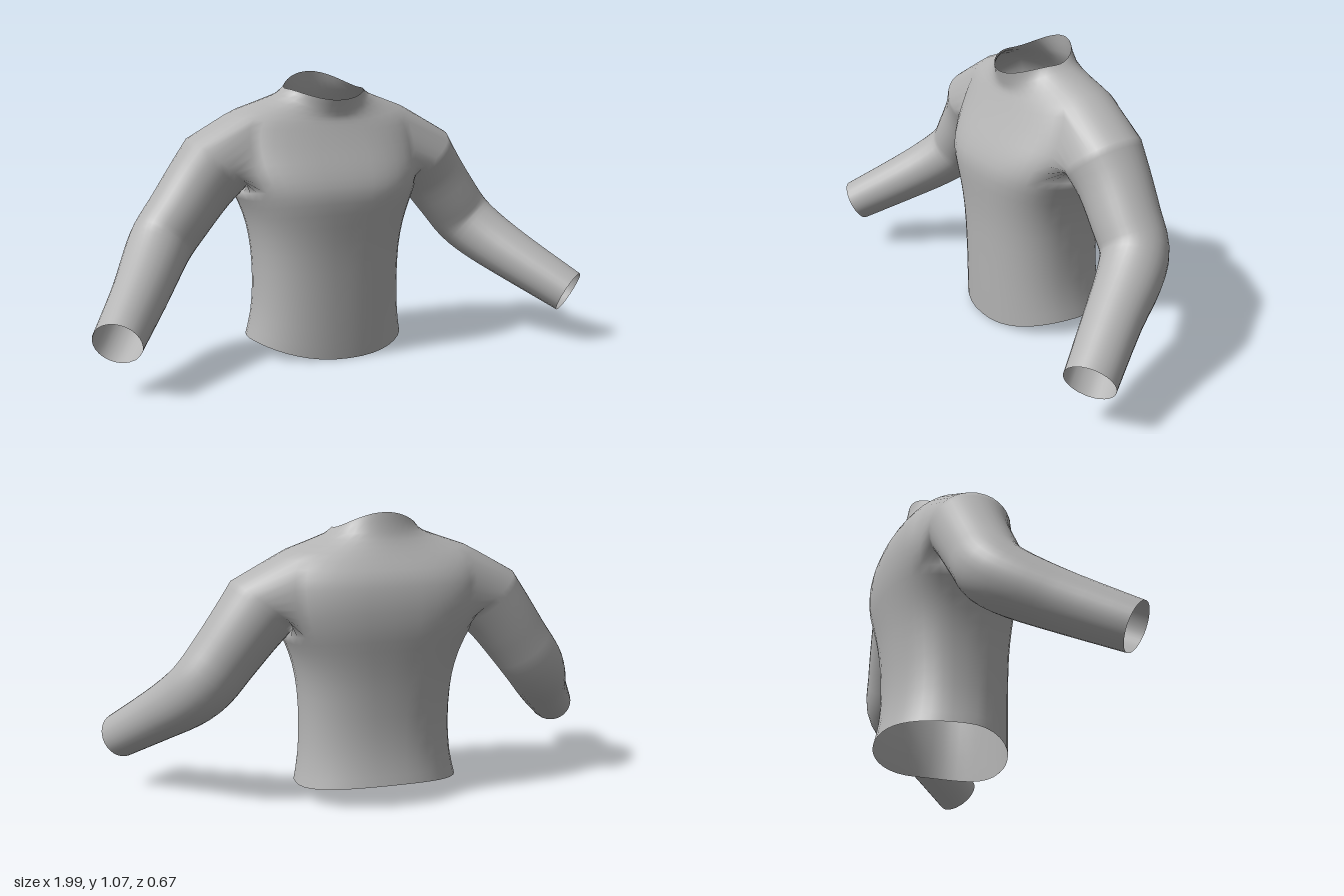
import * as THREE from 'three';

const COLS = 40;  // columns around the torso
const SUB = 2;    // smooth steps between two given sections
const HALF = 4;   // half the armhole width, in columns

// Torso sections: y front, y side, y back, z front, z back, half width, roundness
const TORSO = [
  [0.003, 0.06, 0.088, 0.152, -0.315, 0.312, 0.9],
  [0.12, 0.15, 0.17, 0.155, -0.298, 0.294, 0.88],
  [0.26, 0.27, 0.28, 0.158, -0.29, 0.286, 0.86],
  [0.4, 0.4, 0.4, 0.162, -0.295, 0.29, 0.83],
  [0.51, 0.5, 0.5, 0.171, -0.305, 0.306, 0.8],
  [0.6, 0.575, 0.59, 0.179, -0.319, 0.33, 0.76],
  [0.66, 0.635, 0.66, 0.171, -0.33, 0.358, 0.74], // armpit
  [0.72, 0.7, 0.73, 0.145, -0.333, 0.385, 0.74],
  [0.78, 0.77, 0.79, 0.112, -0.328, 0.4, 0.76],
  [0.835, 0.85, 0.85, 0.083, -0.313, 0.405, 0.82],
  [0.88, 0.92, 0.905, 0.061, -0.28, 0.385, 0.92], // top of the armhole
  [0.905, 0.962, 0.955, 0.052, -0.248, 0.285, 1],
  [0.93, 0.995, 1.005, 0.054, -0.224, 0.19, 1],
  [0.975, 1.015, 1.076, 0.065, -0.21, 0.157, 1],  // collar edge
];
const HOLE_BOTTOM = 6 * SUB, HOLE_TOP = 10 * SUB;

// Sleeve sections: centre x, y, z, radius upward, radius forward
const SLEEVE = [
  [0.43, 0.745, -0.1, 0.142, 0.148],
  [0.495, 0.665, -0.105, 0.132, 0.133],
  [0.575, 0.56, -0.1, 0.124, 0.125],
  [0.645, 0.47, -0.09, 0.12, 0.12],  // elbow
  [0.705, 0.4, -0.025, 0.112, 0.114],
  [0.79, 0.315, 0.1, 0.1, 0.1],
  [0.92, 0.198, 0.277, 0.086, 0.09], // cuff
];

// Catmull-Rom smoothing of a list of section values
function smooth(list, steps) {
  const out = [];
  const at = (i) => list[Math.min(Math.max(i, 0), list.length - 1)];
  for (let i = 0; i < list.length - 1; i++) {
    for (let s = 0; s < steps; s++) {
      const t = s / steps;
      out.push(list[i].map((b, k) => {
        const a = at(i - 1)[k], c = at(i + 1)[k], d = at(i + 2)[k];
        return b + 0.5 * t * (c - a + t * (2 * a - 5 * b + 4 * c - d + t * (3 * (b - c) + d - a)));
      }));
    }
  }
  out.push(list[list.length - 1]);
  return out;
}

const power = (v, p) => Math.sign(v) * Math.pow(Math.abs(v), p);

function torsoPoint([yF, yS, yB, zF, zB, w, p], col) {
  const a = (col / COLS) * Math.PI * 2;
  const s = Math.sin(a), c = Math.cos(a);
  const y = yS + ((c > 0 ? yF : yB) - yS) * c * c;
  return new THREE.Vector3(w * power(s, p), y, (zF + zB) / 2 + ((zF - zB) / 2) * power(c, p));
}

function shirtGeometry() {
  const pos = [], index = [];
  const quad = (a, b, c, d, flip) =>
    flip ? index.push(a, c, b, a, d, c) : index.push(a, b, c, a, c, d);

  // Torso from hem to collar, leaving an armhole on each side
  const rows = smooth(TORSO, SUB);
  const id = (r, c) => r * COLS + ((c + COLS) % COLS);
  rows.forEach((row) => {
    for (let c = 0; c < COLS; c++) pos.push(...torsoPoint(row, c).toArray());
  });
  const inHole = (r, c) => r >= HOLE_BOTTOM && r < HOLE_TOP &&
    [COLS / 4, (3 * COLS) / 4].some((m) => Math.abs(c + 0.5 - m) < HALF);
  for (let r = 0; r < rows.length - 1; r++) {
    for (let c = 0; c < COLS; c++) {
      if (!inHole(r, c)) quad(id(r, c), id(r, c + 1), id(r + 1, c + 1), id(r + 1, c));
    }
  }

  // Edge of the left armhole as row and column pairs
  const loop = [], c0 = COLS / 4 - HALF, c1 = COLS / 4 + HALF;
  for (let c = c0; c < c1; c++) loop.push([HOLE_BOTTOM, c]);
  for (let r = HOLE_BOTTOM; r < HOLE_TOP; r++) loop.push([r, c1]);
  for (let c = c1; c > c0; c--) loop.push([HOLE_TOP, c]);
  for (let r = HOLE_TOP; r > HOLE_BOTTOM; r--) loop.push([r, c0]);
  const n = loop.length;
  const angles = loop.map(([r, c], i) => {
    const p = torsoPoint(rows[r], c);
    const raw = Math.atan2(p.y - 0.775, p.z + 0.095);
    // ease toward even spacing around the sleeve
    const even = -Math.PI / 4 - ((i + 0) / n) * Math.PI * 2;
    const diff = Math.atan2(Math.sin(raw - even), Math.cos(raw - even));
    return even + diff * 0.6;
  });

  // Sleeves grow out of the armholes and are mirrored
  const rings = smooth(SLEEVE, 3);
  const centre = (k) => new THREE.Vector3(...rings[Math.min(Math.max(k, 0), rings.length - 1)]);
  for (const side of [1, -1]) {
    let previous = loop.map(([r, c]) => id(r, side > 0 ? c : COLS - c));
    rings.forEach((ring, k) => {
      const dir = centre(k + 1).sub(centre(k - 1)).normalize();
      const forward = new THREE.Vector3(0, 0, 1).addScaledVector(dir, -dir.z).normalize();
      const up = new THREE.Vector3().crossVectors(forward, dir);
      const start = pos.length / 3;
      angles.forEach((a) => {
        const p = centre(k).addScaledVector(up, ring[3] * Math.sin(a))
          .addScaledVector(forward, ring[4] * Math.cos(a));
        pos.push(side * p.x, p.y, p.z);
      });
      const current = angles.map((_, i) => start + i);
      for (let i = 0; i < n; i++) {
        const j = (i + 1) % n;
        quad(previous[i], previous[j], current[j], current[i], side < 0);
      }
      previous = current;
    });
  }

  const geometry = new THREE.BufferGeometry();
  geometry.setAttribute('position', new THREE.Float32BufferAttribute(pos, 3));
  geometry.setIndex(index);
  geometry.computeVertexNormals();
  return geometry;
}

export function createModel() {
  const group = new THREE.Group();
  group.name = 'longSleevedShirt';
  const fabric = new THREE.MeshStandardMaterial({ color: 0xb4b4b4, side: THREE.DoubleSide });
  fabric.name = 'greyFabric';
  const shirt = new THREE.Mesh(shirtGeometry(), fabric);
  shirt.name = 'shirt';
  group.add(shirt);
  return group;
}
